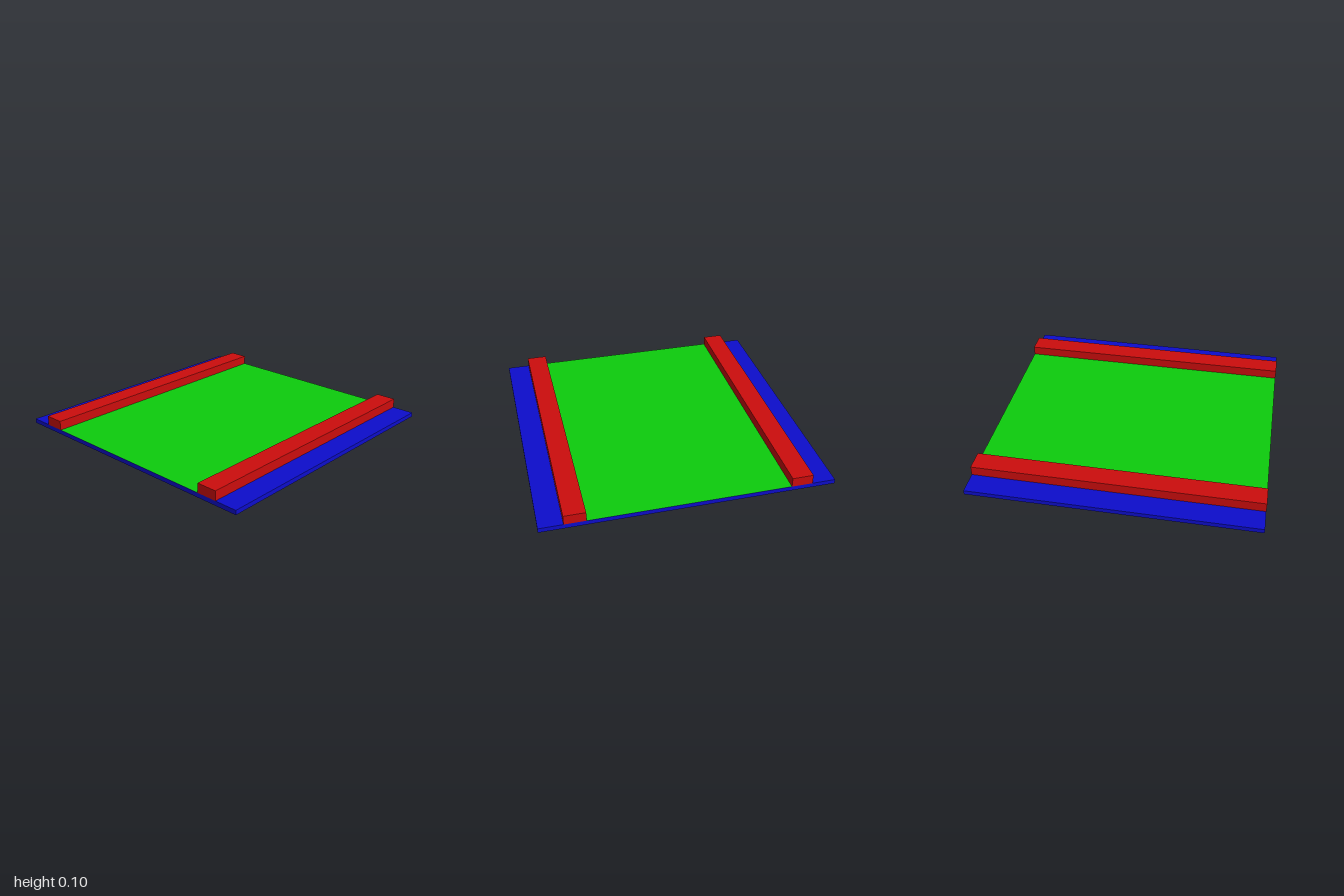
import * as THREE from 'three';

const BASE_H = 0.032, TOP = 0.1;
const RAIL_IN = 0.69, RAIL_OUT = 0.837;

function material(name, color) {
  const m = new THREE.MeshStandardMaterial({ color });
  m.name = name;
  return m;
}

export function createModel() {
  const model = new THREE.Group();
  model.name = 'railedPanel';
  const blue = material('blue', 0x0d0dcc);
  const red = material('red', 0xcc0d0d);
  const green = material('green', 0x0dcc0d);

  const add = (name, geometry, mat, x, y) => {
    const mesh = new THREE.Mesh(geometry, mat);
    mesh.name = name;
    mesh.position.set(x, y, 0);
    model.add(mesh);
  };

  // Square base slab
  add('base', new THREE.BoxGeometry(2, BASE_H, 2), blue, 0, BASE_H / 2);

  // Painted field between the rails, a single face just above the slab
  const field = new THREE.PlaneGeometry(RAIL_IN * 2, 2).rotateX(-Math.PI / 2);
  add('field', field, green, 0, BASE_H + 0.001);

  // Full-length rails on both sides
  const rail = new THREE.BoxGeometry(RAIL_OUT - RAIL_IN, TOP - BASE_H, 2);
  for (const [name, side] of [['leftRail', 1], ['rightRail', -1]]) {
    add(name, rail, red, side * (RAIL_IN + RAIL_OUT) / 2, (BASE_H + TOP) / 2);
  }
  return model;
}
